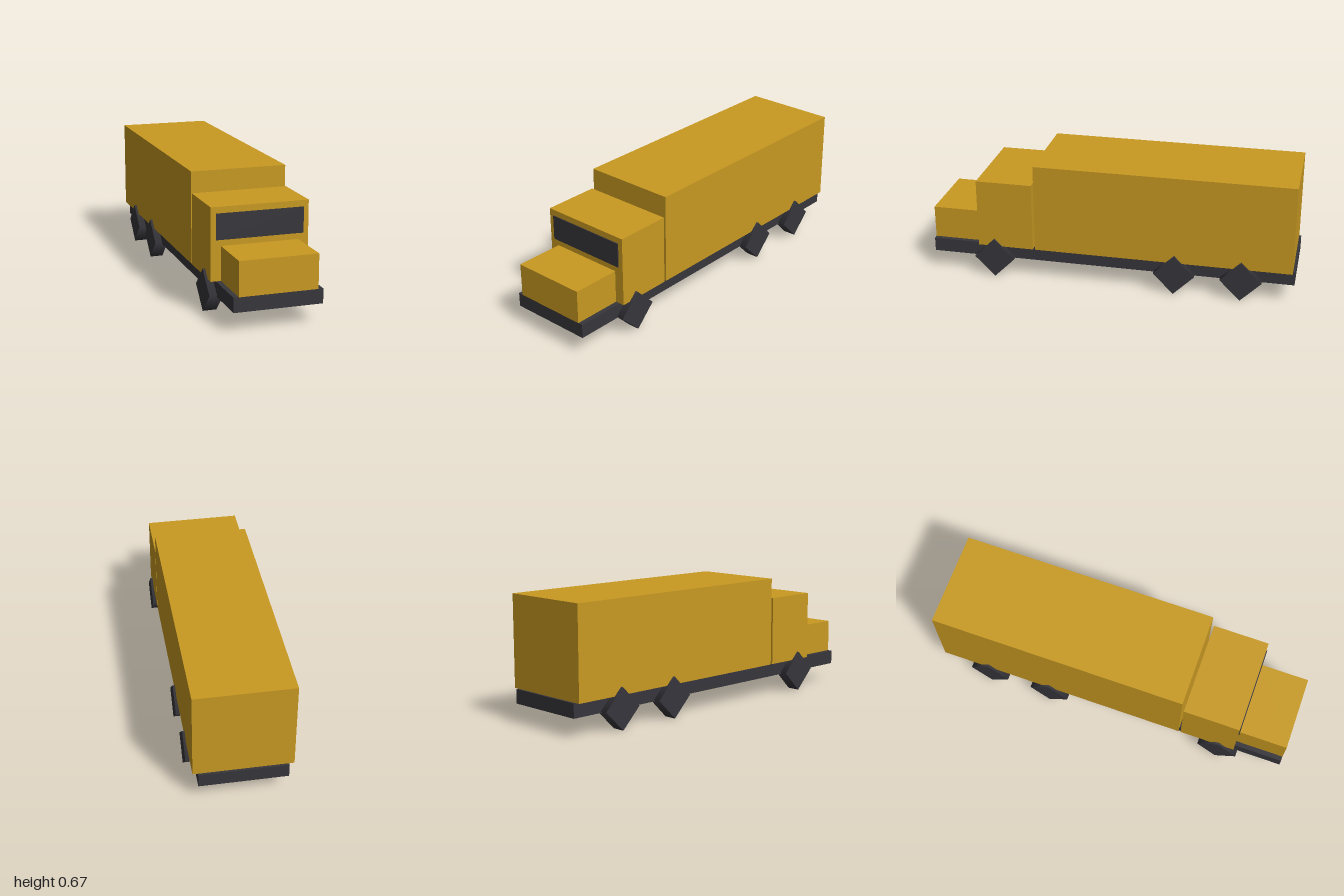
import * as THREE from 'three';

export function createModel() {
  const truck = new THREE.Group();
  truck.name = 'boxTruck';

  const yellow = new THREE.MeshStandardMaterial({ color: 0xc99a22 });
  yellow.name = 'yellow paint';
  const dark = new THREE.MeshStandardMaterial({ color: 0x37363c });
  dark.name = 'dark grey';

  // Box centred on x, given by its half width and its y and z ranges
  function addBox(name, material, halfWidth, y0, y1, z0, z1) {
    const mesh = new THREE.Mesh(new THREE.BoxGeometry(halfWidth * 2, y1 - y0, z1 - z0), material);
    mesh.position.set(0, (y0 + y1) / 2, (z0 + z1) / 2);
    mesh.name = name;
    truck.add(mesh);
  }

  addBox('chassis', dark, 0.23, 0.103, 0.179, -1, 1);
  addBox('hood', yellow, 0.204, 0.179, 0.358, 0.733, 1);
  addBox('cab', yellow, 0.257, 0.179, 0.557, 0.425, 0.733);
  addBox('windshield', dark, 0.23, 0.39, 0.524, 0.731, 0.738);
  addBox('cargoBox', yellow, 0.257, 0.179, 0.668, -0.988, 0.412);

  // Four-sided wheels standing on a corner, smooth-shaded around the tread
  const wheelGeometry = new THREE.CylinderGeometry(0.1115, 0.1115, 0.072, 4);
  wheelGeometry.rotateZ(Math.PI / 2);
  const axles = { front: 0.643, middle: -0.357, rear: -0.717 };
  for (const [axle, z] of Object.entries(axles)) {
    for (const side of [-1, 1]) {
      const wheel = new THREE.Mesh(wheelGeometry, dark);
      wheel.position.set(side * 0.234, 0.1115, z);
      wheel.name = axle + (side > 0 ? 'LeftWheel' : 'RightWheel');
      truck.add(wheel);
    }
  }

  return truck;
}
